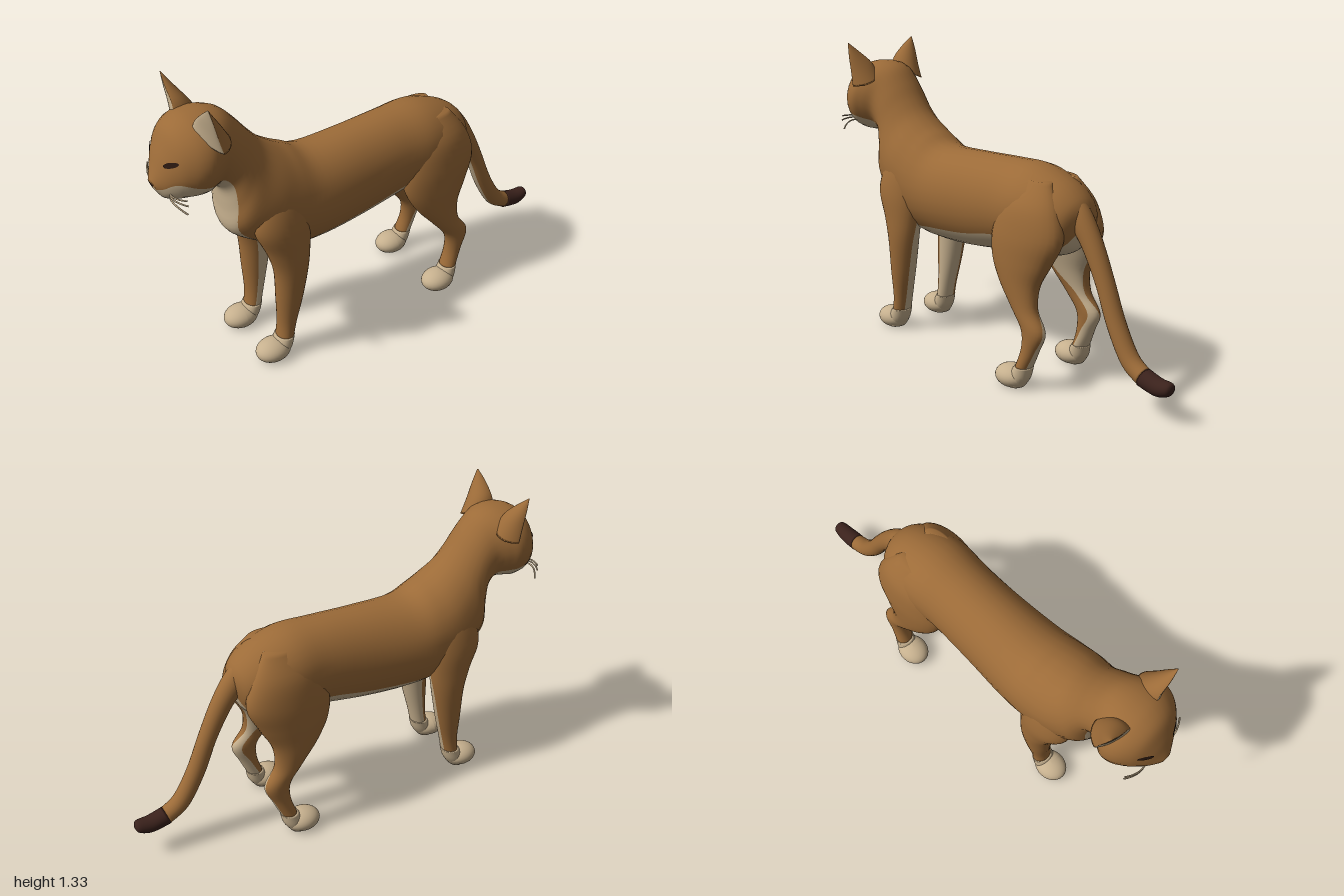
import * as THREE from 'three';

const mat = (name, color, side = THREE.FrontSide) => {
  const m = new THREE.MeshStandardMaterial({ color, side });
  m.name = name;
  return m;
};
const fur = mat('tawny fur', 0x9c6b38);
const cream = mat('cream fur', 0xc6b08e);
const dark = mat('dark brown', 0x3b221c);
const eyeDark = mat('eye', 0x2a1810, THREE.DoubleSide);

// Smooth interpolation between rows of numbers
function smoothRows(rows, sub) {
  const out = [], n = rows.length;
  for (let i = 0; i < n - 1; i++) {
    const p0 = rows[Math.max(i - 1, 0)], p1 = rows[i], p2 = rows[i + 1], p3 = rows[Math.min(i + 2, n - 1)];
    for (let s = 0; s < sub; s++) {
      const t = s / sub;
      out.push(p1.map((b, k) => {
        const a = p0[k], c = p2[k], d = p3[k];
        return 0.5 * (2 * b + (c - a) * t + (2 * a - 5 * b + 4 * c - d) * t * t + (3 * b - a - 3 * c + d) * t * t * t);
      }));
    }
  }
  out.push(rows[n - 1]);
  return out;
}

// Skin over rings [centre, U, V, patch middle angle, patch half angle].
// Group 0 is the pale patch around the middle angle, group 1 the rest.
function loft(rows, { sub = 5, frontScale = 1 } = {}) {
  const rings = smoothRows(rows, sub), np = 10, nr = 20, n = np + nr;
  const pos = [], faces = [[], []];
  for (const [cx, cy, cz, ux, uy, uz, vx, vy, vz, mid, half] of rings) {
    for (let j = 0; j < n; j++) {
      const a = j < np ? mid - half + (2 * half * j) / np
        : mid + half + ((2 * Math.PI - 2 * half) * (j - np)) / nr;
      let c = Math.cos(a);
      const s = Math.sin(a);
      if (c > 0) c *= frontScale;
      pos.push(cx + c * ux + s * vx, cy + c * uy + s * vy, cz + c * uz + s * vz);
    }
  }
  const last = rings.length - 1, capA = pos.length / 3, capB = capA + 1;
  pos.push(...rings[0].slice(0, 3), ...rings[last].slice(0, 3));
  for (let j = 0; j < n; j++) {
    const k = (j + 1) % n, f = faces[j < np ? 0 : 1];
    for (let i = 0; i < last; i++) {
      const a = i * n + j, b = i * n + k;
      f.push(a, b, a + n, b, b + n, a + n);
    }
    f.push(capA, k, j, capB, last * n + j, last * n + k);
  }
  const g = new THREE.BufferGeometry();
  g.setAttribute('position', new THREE.Float32BufferAttribute(pos, 3));
  g.setIndex([...faces[0], ...faces[1]]);
  g.addGroup(0, faces[0].length, 0);
  g.addGroup(faces[0].length, faces[1].length, 1);
  g.computeVertexNormals();
  return g;
}

// Ring from top z,y and bottom z,y, half width and half angle of the pale underside
const spineRing = ([zt, yt, zb, yb, w, half]) =>
  [0, (yt + yb) / 2, (zt + zb) / 2, 0, (yb - yt) / 2, (zb - zt) / 2, w, 0, 0, 0, half];
// Level ring from height, front z, back z, inner x, outer x and pale patch (0 = inner, PI/2 = back)
const legRing = ([y, zf, zb, xi, xo, mid = 0, half = 1]) =>
  [(xi + xo) / 2, y, (zf + zb) / 2, -(xo - xi) / 2, 0, 0, 0, 0, -(zf - zb) / 2, mid, half];

// Copy across the x = 0 plane
function mirrored(geo) {
  const g = geo.clone().scale(-1, 1, 1), ix = g.index.array;
  for (let i = 0; i < ix.length; i += 3) [ix[i + 1], ix[i + 2]] = [ix[i + 2], ix[i + 1]];
  g.computeVertexNormals();
  return g;
}

export function createModel() {
  const model = new THREE.Group();
  model.name = 'cat';
  const add = (name, geo, material) => {
    const m = new THREE.Mesh(geo, material);
    m.name = name;
    model.add(m);
    return m;
  };
  const addPair = (name, geo, material) => {
    add('left' + name, geo, material);
    add('right' + name, mirrored(geo), material);
  };

  // Rump, trunk, neck and head in one skin
  const body = add('bodyAndHead', loft([
    [-0.53, 0.76, -0.51, 0.67, 0.03, 0.9],
    [-0.50, 0.82, -0.48, 0.60, 0.11, 0.8],
    [-0.42, 0.88, -0.40, 0.56, 0.155, 0.75],
    [-0.28, 0.925, -0.26, 0.55, 0.178, 0.85],
    [-0.12, 0.925, -0.12, 0.52, 0.17, 1.0],
    [0.08, 0.915, 0.08, 0.487, 0.175, 0.93],
    [0.30, 0.91, 0.28, 0.475, 0.19, 0.88],
    [0.40, 0.952, 0.45, 0.49, 0.195, 0.65],
    [0.46, 0.985, 0.60, 0.575, 0.19, 0.5],
    [0.52, 1.03, 0.70, 0.66, 0.17, 0.6],
    [0.57, 1.085, 0.708, 0.77, 0.15, 0.82],
    [0.62, 1.15, 0.715, 0.86, 0.14, 0.9],
    [0.675, 1.21, 0.75, 0.905, 0.142, 0.9],
    [0.73, 1.235, 0.79, 0.908, 0.168, 0.95],
    [0.79, 1.24, 0.82, 0.905, 0.187, 1.05],
    [0.85, 1.23, 0.86, 0.905, 0.176, 1.12],
    [0.905, 1.195, 0.90, 0.905, 0.142, 1.3],
    [0.945, 1.12, 0.93, 0.908, 0.102, 1.55],
    [0.972, 1.05, 0.955, 0.92, 0.065, 1.6],
    [0.992, 1.0, 0.975, 0.95, 0.03, 1.5],
  ].map(spineRing)), [cream, fur]);

  // Tail, from the tip end up to the rump
  add('tail', loft([
    [-0.87, 0.20, -0.845, 0.127, 0.04, 0.3],
    [-0.81, 0.245, -0.755, 0.185, 0.04, 0.4],
    [-0.74, 0.365, -0.67, 0.325, 0.04, 0.5],
    [-0.675, 0.52, -0.605, 0.48, 0.04, 0.5],
    [-0.605, 0.67, -0.54, 0.60, 0.044, 0.5],
    [-0.53, 0.785, -0.49, 0.67, 0.05, 0.5],
    [-0.45, 0.85, -0.44, 0.72, 0.05, 0.5],
  ].map(spineRing)), [cream, fur]);
  add('tailTip', loft([
    [-0.998, 0.17, -1.0, 0.148, 0.012, 1],
    [-0.985, 0.183, -0.985, 0.126, 0.03, 1],
    [-0.93, 0.185, -0.93, 0.11, 0.039, 1],
    [-0.868, 0.202, -0.843, 0.125, 0.041, 1],
  ].map(spineRing)), [dark, dark]);

  // Legs: pale inside and behind
  addPair('FrontLeg', loft([
    [0.90, 0.56, 0.46, 0.06, 0.13, 0.5, 0.8],
    [0.80, 0.61, 0.40, 0.05, 0.183, 0.5, 0.8],
    [0.68, 0.635, 0.385, 0.06, 0.212, 0.5, 0.8],
    [0.56, 0.59, 0.39, 0.07, 0.215, 0.6, 0.9],
    [0.45, 0.56, 0.405, 0.08, 0.213, 0.7, 1.0],
    [0.30, 0.555, 0.435, 0.085, 0.20, 0.8, 1.0],
    [0.17, 0.552, 0.468, 0.088, 0.184, 0.8, 1.05],
    [0.095, 0.56, 0.485, 0.088, 0.182, 0.8, 1.1],
  ].map(legRing)), [cream, fur]);
  addPair('HindLeg', loft([
    [0.88, -0.25, -0.40, 0.04, 0.11, 0.3, 0.8],
    [0.78, -0.17, -0.47, 0.03, 0.178, 0.3, 0.9],
    [0.66, -0.125, -0.505, 0.03, 0.205, 0.3, 1.0],
    [0.55, -0.135, -0.46, 0.06, 0.21, 0.3, 1.0],
    [0.45, -0.19, -0.41, 0.09, 0.208, 0.4, 0.8],
    [0.35, -0.275, -0.41, 0.115, 0.205, 0.8, 0.35],
    [0.265, -0.34, -0.462, 0.125, 0.205, 1.1, 0.6],
    [0.18, -0.345, -0.43, 0.13, 0.205, 1.0, 1.0],
    [0.095, -0.32, -0.392, 0.13, 0.215, 0.9, 1.2],
  ].map(legRing)), [cream, fur]);

  // Ankles and paws
  const feet = [
    ['Front', 0.137, 0.585, [[0.1, 0.563, 0.482, 0.085, 0.185], [0.05, 0.59, 0.495, 0.085, 0.188], [0.004, 0.59, 0.525, 0.095, 0.18]]],
    ['Hind', 0.18, -0.293, [[0.1, -0.317, -0.395, 0.128, 0.218], [0.05, -0.29, -0.385, 0.13, 0.225], [0.004, -0.29, -0.355, 0.14, 0.22]]],
  ];
  for (const [name, x, z, ankle] of feet) {
    addPair(name + 'Ankle', loft(ankle.map(legRing)), [cream, cream]);
    const paw = new THREE.SphereGeometry(1, 28, 18).scale(0.067, 0.05, 0.08).translate(x, 0.041, z);
    const p = paw.attributes.position;
    for (let i = 0; i < p.count; i++) p.setY(i, Math.max(0, p.getY(i)));
    paw.computeVertexNormals();
    addPair(name + 'Paw', paw, cream);
  }

  // Ears: rounded behind, flat pale opening facing forward and outward
  addPair('Ear', loft([
    [0.132, 1.17, 0.80, 0.03, 0, 0.085, 0.066, -0.033, -0.03, 0, 1.35],
    [0.141, 1.225, 0.807, 0.022, 0, 0.06, 0.053, -0.022, -0.02, 0, 1.35],
    [0.164, 1.28, 0.814, 0.012, 0, 0.03, 0.029, -0.012, -0.012, 0, 1.3],
    [0.185, 1.33, 0.818, 0.001, 0, 0.002, 0.002, -0.001, -0.001, 0, 1.2],
  ], { frontScale: 0.2 }), [cream, fur]);

  // Thin patches laid on the face by casting rays back onto it
  body.updateMatrixWorld();
  const ray = new THREE.Raycaster();
  const ontoFace = (geo) => {
    const p = geo.attributes.position;
    for (let i = 0; i < p.count; i++) {
      ray.set(new THREE.Vector3(p.getX(i), p.getY(i), 2), new THREE.Vector3(0, 0, -1));
      const hit = ray.intersectObject(body)[0];
      p.setZ(i, (hit ? hit.point.z : 0.97) + 0.004);
    }
    geo.computeVertexNormals();
    return geo;
  };
  addPair('Eye', ontoFace(new THREE.CircleGeometry(1, 20).scale(0.033, 0.011, 1).rotateZ(0.4).translate(0.085, 1.093, 0)), eyeDark);
  const nose = new THREE.Shape([[-0.026, 0.998], [0, 0.968], [0.026, 0.998]].map(([x, y]) => new THREE.Vector2(x, y)));
  add('nose', ontoFace(new THREE.ShapeGeometry(nose)), eyeDark);

  // Whiskers
  [[0.972, 0.972, 0.165], [0.962, 0.95, 0.168], [0.95, 0.905, 0.155]].forEach(([y0, y1, x1], i) => {
    const curve = new THREE.QuadraticBezierCurve3(
      new THREE.Vector3(0.06, y0 - 0.012, 0.945),
      new THREE.Vector3(0.11, y0 - 0.008, 0.962),
      new THREE.Vector3(x1, y1, 0.922));
    addPair('Whisker' + (i + 1), new THREE.TubeGeometry(curve, 8, 0.0035, 6), cream);
  });
  return model;
}
